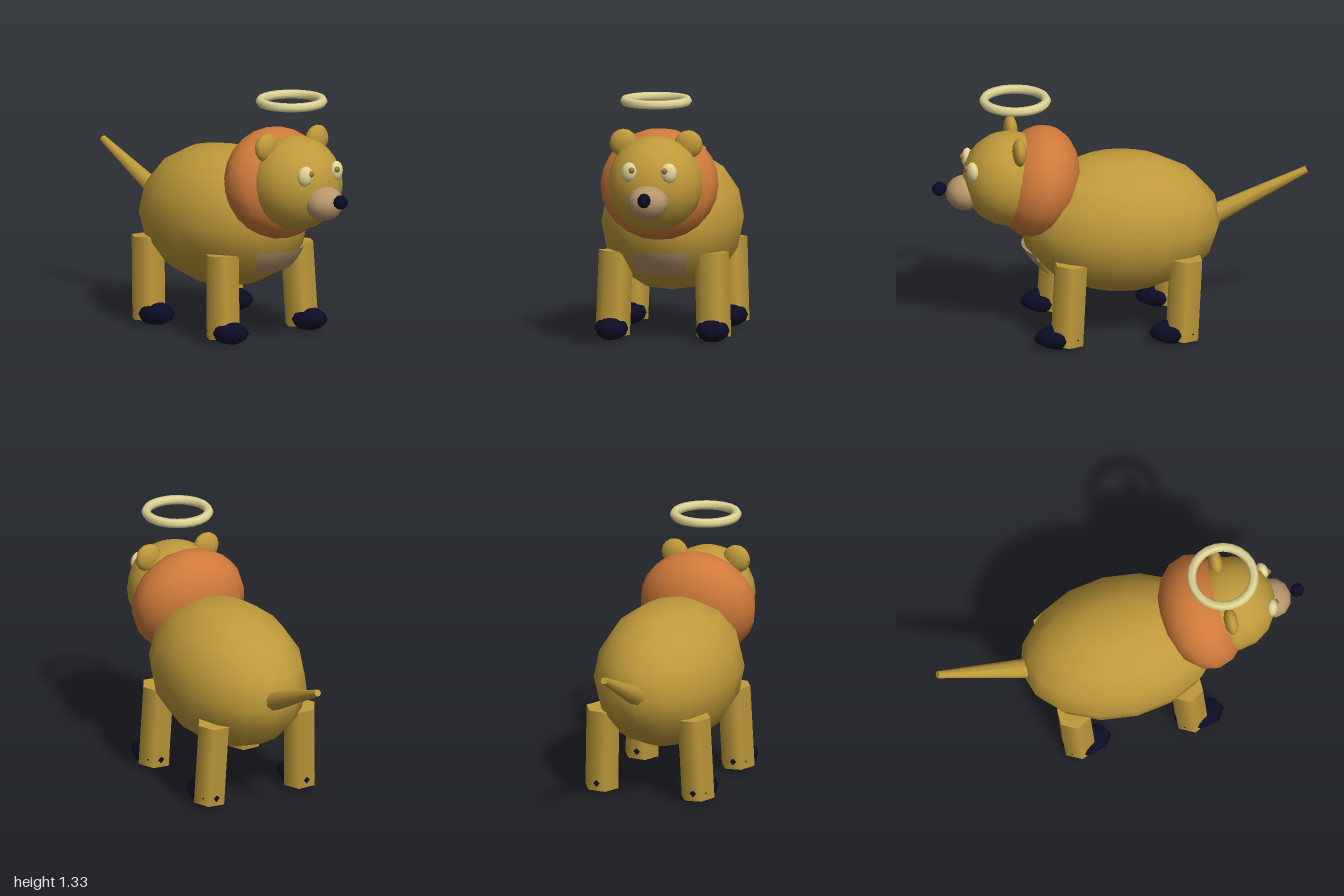
import * as THREE from 'three';

const mat = (name, color, side = THREE.FrontSide) => {
  const m = new THREE.MeshStandardMaterial({ color, side });
  m.name = name;
  return m;
};

export function createModel() {
  const root = new THREE.Group();
  const fur = mat('golden fur', 0xc09a3a);
  const maneFur = mat('orange mane', 0xcf7a3a);
  const tan = mat('tan skin', 0xb8966c, THREE.DoubleSide);
  const dark = mat('midnight', 0x0c0c26);
  const cream = mat('cream', 0xe2d798);
  const brown = mat('pupil brown', 0xa07a42);

  const add = (name, geometry, material, pos = [0, 0, 0], rot = [0, 0, 0]) => {
    const m = new THREE.Mesh(geometry, material);
    m.name = name;
    m.position.set(...pos);
    m.rotation.set(...rot);
    root.add(m);
    return m;
  };
  // Low-poly ellipsoid with smooth normals
  const blob = (name, material, pos, radii, w = 16, h = 12, rot) => {
    const m = add(name, new THREE.SphereGeometry(1, w, h), material, pos, rot);
    m.scale.set(...radii);
    return m;
  };
  // Tapered prism running between two points
  const limb = (name, from, to, r0, r1, sides) => {
    const a = new THREE.Vector3(...from), b = new THREE.Vector3(...to);
    const dir = b.clone().sub(a);
    const geo = new THREE.CylinderGeometry(r1, r0, dir.length(), sides);
    geo.rotateY(Math.PI / sides);
    const m = add(name, geo, fur, a.clone().add(b).multiplyScalar(0.5).toArray());
    m.quaternion.setFromUnitVectors(new THREE.Vector3(0, 1, 0), dir.normalize());
  };

  // Trunk and the curved patch on its chest
  blob('body', fur, [0, 0.6, 0], [0.376, 0.376, 0.538], 16, 8, [-0.04, 0, 0]);
  const patch = add('chestPatch',
    new THREE.SphereGeometry(1, 8, 4, Math.PI / 2 - 0.44, 0.88, 1.9, 0.36),
    tan, [0, 0.6, 0], [-0.02, 0, 0]);
  patch.scale.set(0.385, 0.385, 0.55);

  // Head and mane
  blob('mane', maneFur, [0, 0.845, 0.44], [0.315, 0.297, 0.218], 16, 12, [-0.3, 0, 0]);
  blob('head', fur, [0, 0.868, 0.588], [0.252, 0.252, 0.25], 16, 12);
  blob('snout', tan, [0, 0.8, 0.825], [0.108, 0.092, 0.1], 12, 8);
  blob('nose', dark, [0, 0.828, 0.96], [0.038, 0.039, 0.04], 6, 6, [0, Math.PI / 6, 0]);

  for (const s of [1, -1]) {
    const side = s > 0 ? 'left' : 'right';
    blob(side + 'Ear', fur, [s * 0.173, 1.077, 0.558], [0.075, 0.075, 0.037], 10, 8);
    blob(side + 'Eye', cream, [s * 0.106, 0.954, 0.798], [0.045, 0.054, 0.03], 10, 8, [0, s * 0.3, s * 0.08]);
    blob(side + 'Pupil', brown, [s * 0.088, 0.969, 0.826], [0.016, 0.017, 0.014], 8, 6);

    // Legs with paws poking slightly through the heels
    for (const [name, top] of [['FrontLeg', 0.295], ['BackLeg', -0.316]]) {
      limb(side + name, [s * 0.27, 0.024, top + 0.024], [s * 0.255, 0.467, top], 0.092, 0.092, 6);
      blob(side + name.replace('Leg', 'Paw'), dark, [s * 0.27, 0.062, top + 0.065],
        [0.09, 0.062, 0.134], 8, 6);
    }
  }

  // Tail
  limb('tail', [0, 0.602, -0.49], [0, 0.833, -0.992], 0.053, 0.019, 8);

  // Floating ring above the head
  add('halo', new THREE.TorusGeometry(0.165, 0.025, 6, 24), cream, [0, 1.305, 0.557], [Math.PI / 2, 0, 0]);

  return root;
}
